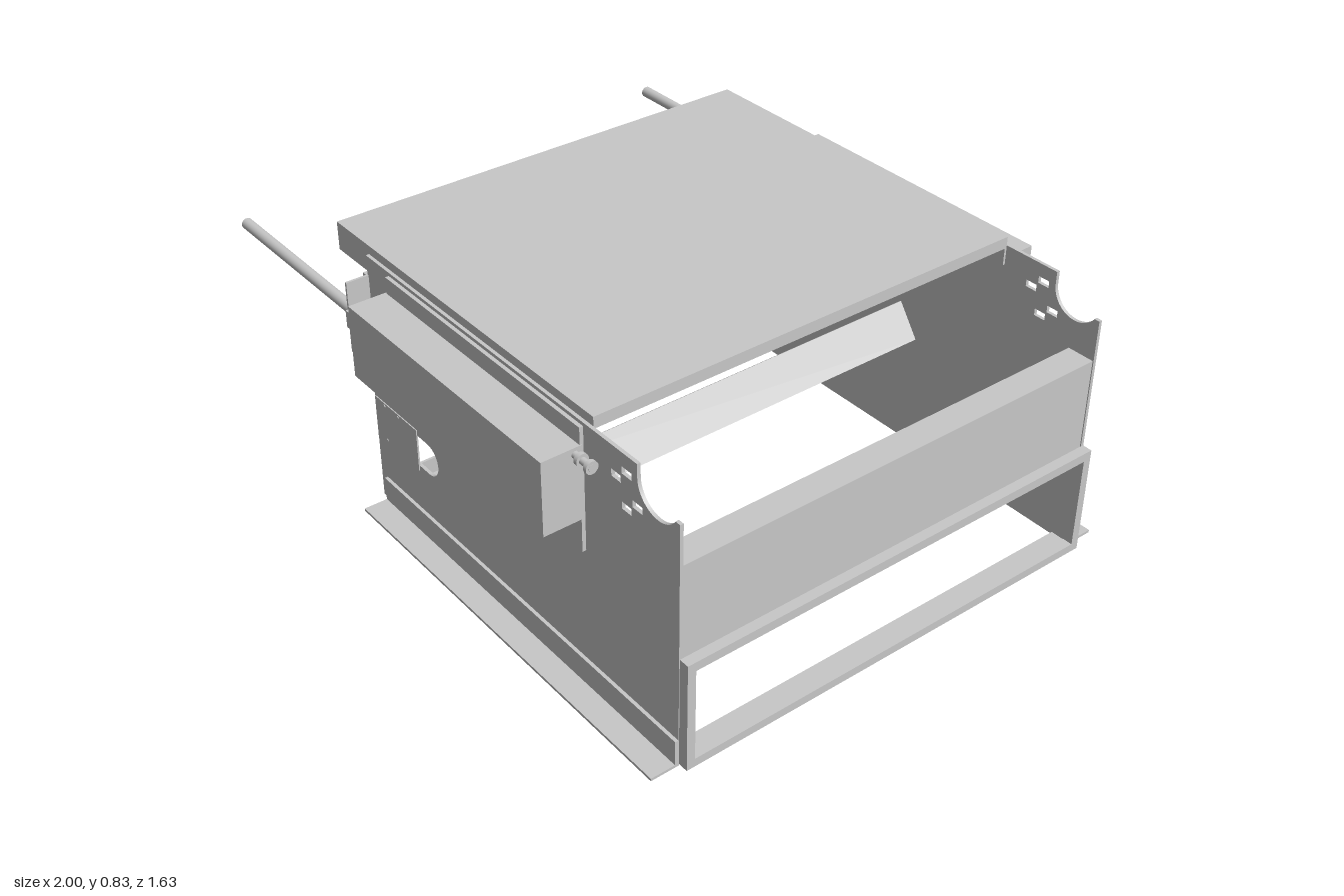
import * as THREE from 'three';

const steel = new THREE.MeshStandardMaterial({ color: 0xc8c8c8, side: THREE.DoubleSide });
steel.name = 'steel grey';

export function createModel() {
  const model = new THREE.Group();
  model.name = 'equipmentFrame';

  const add = (name, geometry, parent = model) => {
    const mesh = new THREE.Mesh(geometry, steel);
    mesh.name = name;
    parent.add(mesh);
    return mesh;
  };
  // Box given by its limits on each axis
  const box = (name, x0, x1, y0, y1, z0, z1, parent) => {
    const mesh = add(name, new THREE.BoxGeometry(x1 - x0, y1 - y0, Math.abs(z1 - z0)), parent);
    mesh.position.set((x0 + x1) / 2, (y0 + y1) / 2, (z0 + z1) / 2);
    return mesh;
  };
  // Cylinder lying along x
  const rod = (name, x0, x1, y, z, r, parent) => {
    const mesh = add(name, new THREE.CylinderGeometry(r, r, x1 - x0, 24).rotateZ(Math.PI / 2), parent);
    mesh.position.set((x0 + x1) / 2, y, z);
    return mesh;
  };
  const rect = (Type, x0, x1, y0, y1) => {
    const p = new Type();
    p.moveTo(x0, y0);
    p.lineTo(x1, y0);
    p.lineTo(x1, y1);
    p.lineTo(x0, y1);
    p.closePath();
    return p;
  };

  // Side wall outline with a round notch at the upper corner
  const wallShape = () => {
    const s = new THREE.Shape();
    s.moveTo(-0.39, 0.005);
    s.lineTo(0.97, 0.005);
    s.lineTo(0.97, 0.73);
    s.lineTo(0.953, 0.73);
    s.absarc(0.89, 0.77, 0.075, -0.56, -Math.PI, true);
    s.lineTo(0.815, 0.806);
    s.lineTo(-0.365, 0.806);
    s.lineTo(-0.365, 0.742);
    s.lineTo(-0.39, 0.742);
    s.closePath();
    // Cable slot
    const slot = new THREE.Path();
    slot.moveTo(-0.36, 0.232);
    slot.lineTo(-0.12, 0.232);
    slot.absarc(-0.12, 0.282, 0.05, -Math.PI / 2, Math.PI / 2, false);
    slot.lineTo(-0.36, 0.332);
    slot.closePath();
    s.holes.push(slot);
    // Small mounting slots
    for (const [x, y] of [[0.735, 0.728], [0.775, 0.757], [0.775, 0.657], [0.815, 0.685]]) {
      s.holes.push(rect(THREE.Path, x - 0.018, x + 0.018, y - 0.01, y + 0.01));
    }
    return s;
  };

  // Both sides: wall, base angle, actuator housing, rod and bracket
  for (const side of [1, -1]) {
    const g = new THREE.Group();
    g.name = side > 0 ? 'frontSide' : 'backSide';
    model.add(g);
    const b = (name, x0, x1, y0, y1, z0, z1) => box(name, x0, x1, y0, y1, side * z0, side * z1, g);

    const wall = add('sideWall', new THREE.ExtrudeGeometry(wallShape(), { depth: 0.01, bevelEnabled: false, curveSegments: 20 }), g);
    wall.position.z = side * 0.687 - 0.005;

    b('baseFlange', -0.36, 0.97, 0, 0.008, 0.69, 0.775);
    b('baseUpright', -0.36, 0.97, 0, 0.083, 0.69, 0.702);
    b('housingBackPlate', -0.25, 0.61, 0.432, 0.796, 0.69, 0.703);
    b('actuatorHousing', -0.255, 0.612, 0.532, 0.747, 0.698, 0.815);
    b('bracketPlate', -0.367, -0.36, 0.53, 0.747, 0.69, 0.76);
    b('rodGuide', -0.36, -0.32, 0.615, 0.667, 0.692, 0.77);
    rod('rodCollar', -0.3, -0.255, 0.638, side * 0.73, 0.022, g);
    rod('pushRod', -1, -0.255, 0.638, side * 0.73, 0.017, g);

    // Spool-shaped knob beyond the housing
    rod('knobStem', 0.612, 0.68, 0.728, side * 0.718, 0.01, g);
    for (const x of [0.63, 0.667]) rod('knobDisc', x, x + 0.012, 0.728, side * 0.718, 0.018, g);
  }

  // Cover over the front cable slot, with screws
  box('slotCover', -0.385, -0.17, 0.215, 0.35, 0.69, 0.695);
  for (const [x, y] of [[-0.335, 0.341], [-0.265, 0.341], [-0.335, 0.226]]) {
    const screw = add('coverScrew', new THREE.CylinderGeometry(0.005, 0.005, 0.004, 12).rotateX(Math.PI / 2));
    screw.position.set(x, y, 0.695);
  }

  // Thin ledge under the rear cable slot
  box('rearLedge', -0.34, 0.06, 0.2, 0.203, -0.74, -0.69);
  rod('rearLedgePin', 0.05, 0.09, 0.215, -0.735, 0.013);

  // End fittings on the rear housing
  box('endFitting', 0.612, 0.616, 0.56, 0.72, -0.752, -0.7);
  box('endFittingKey', 0.612, 0.617, 0.6, 0.68, -0.783, -0.757);

  // Top cover: thin sheet with folded edges
  box('topCover', -0.53, 0.637, 0.822, 0.832, -0.682, 0.682);
  for (const x of [-0.53, 0.629]) box('coverEndLip', x, x + 0.008, 0.798, 0.832, -0.682, 0.682);
  for (const z of [-0.682, 0.675]) box('coverSideLip', -0.53, 0.637, 0.747, 0.832, z, z + 0.007);

  // Rectangular end frame with its face towards x
  const endFrame = (name, x, depth, outer, inner) => {
    const s = rect(THREE.Shape, ...outer);
    s.holes.push(rect(THREE.Path, ...inner));
    const geometry = new THREE.ExtrudeGeometry(s, { depth, bevelEnabled: false });
    add(name, geometry.rotateY(Math.PI / 2)).position.x = x;
  };
  endFrame('leftEndFrame', 0.97, 0.03, [-0.69, 0.69, 0.005, 0.337], [-0.665, 0.665, 0.03, 0.31]);
  endFrame('rightEndFrame', -0.39, 0.008, [-0.69, 0.69, 0.005, 0.742], [-0.665, 0.665, 0.062, 0.718]);

  // Strips closing the base and top at the ends
  box('rightBaseStrip', -0.39, -0.3, 0.004, 0.012, -0.69, 0.69);
  box('leftBaseStrip', 0.915, 0.97, 0.004, 0.012, -0.69, 0.69);
  box('rightTopStrip', -0.39, -0.33, 0.734, 0.742, -0.685, 0.685);

  // End panel with inward flanges
  box('endPanel', 0.957, 0.967, 0.282, 0.608, -0.685, 0.685);
  box('endPanelTopFlange', 0.885, 0.967, 0.6, 0.608, -0.685, 0.685);
  box('endPanelInnerLip', 0.885, 0.893, 0.573, 0.608, -0.685, 0.685);
  box('endPanelLowerFlange', 0.9, 0.967, 0.282, 0.29, -0.685, 0.685);

  // Tilted cross beam inside
  const beam = box('crossBeam', 0.24, 0.36, 0.4, 0.41, -0.685, 0.685);
  beam.rotation.z = -0.95;

  return model;
}
